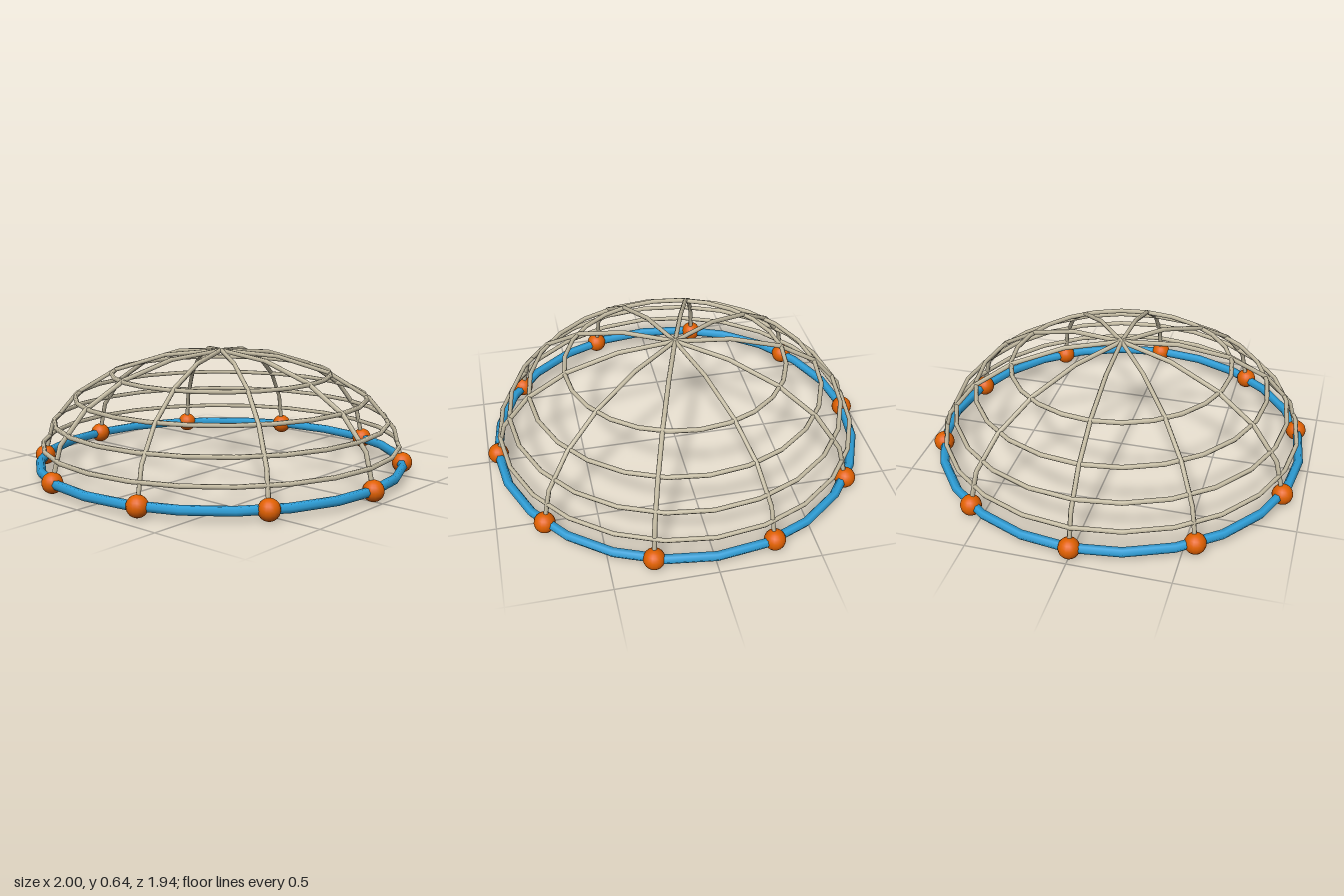
import * as THREE from 'three';

const RADIUS = 0.947;  // dome radius
const RISE = 0.577;    // dome height above the base ring
const BASE = 0.053;    // height of the base ring
const SIDES = 6;       // cross-section of every rod
const RING_STEPS = 24;
const ROD = 0.012;

// Half-ellipse over the dome, sampled at even angles
class ArchCurve extends THREE.Curve {
  getPoint(t, target = new THREE.Vector3()) {
    const a = t * Math.PI;
    return target.set(RADIUS * Math.cos(a), RISE * Math.sin(a), 0);
  }
  getPointAt(t, target) { return this.getPoint(t, target); }
  getTangentAt(t, target = new THREE.Vector3()) {
    const a = t * Math.PI;
    return target.set(-RADIUS * Math.sin(a), RISE * Math.cos(a), 0).normalize();
  }
}

export function createModel() {
  const model = new THREE.Group();
  model.name = 'domeFrame';

  const material = (name, color) => {
    const m = new THREE.MeshStandardMaterial({ color });
    m.name = name;
    return m;
  };
  const rodMaterial = material('warm grey', 0xc8bfa6);
  const ringMaterial = material('blue', 0x2e9fd8);
  const jointMaterial = material('orange', 0xe06000);

  const add = (name, geometry, mat, y) => {
    const mesh = new THREE.Mesh(geometry, mat);
    mesh.name = name;
    mesh.position.y = y;
    model.add(mesh);
    return mesh;
  };
  const ring = (radius, tube) =>
    new THREE.TorusGeometry(radius, tube, SIDES, RING_STEPS).rotateX(Math.PI / 2);

  // Thick ring at the foot
  add('baseRing', ring(RADIUS, 0.024), ringMaterial, BASE);

  // Level rings at even heights up the dome
  for (let i = 1; i <= 4; i++) {
    const h = i / 5;
    add('levelRing' + i, ring(RADIUS * Math.sqrt(1 - h * h), ROD), rodMaterial, 0.038 + 0.1187 * i);
  }

  // Five arches crossing at the top
  const arch = new THREE.TubeGeometry(new ArchCurve(), 10, ROD, SIDES, false);
  for (let i = 0; i < 5; i++) {
    add('arch' + (i + 1), arch, rodMaterial, BASE).rotation.y = i * Math.PI / 5;
  }

  // Ball joints at the feet of the arches
  const ball = new THREE.SphereGeometry(0.053, 16, 12);
  for (let i = 0; i < 10; i++) {
    const a = i * Math.PI / 5;
    const joint = add('joint' + (i + 1), ball, jointMaterial, BASE);
    joint.position.x = RADIUS * Math.cos(a);
    joint.position.z = RADIUS * Math.sin(a);
  }

  return model;
}
